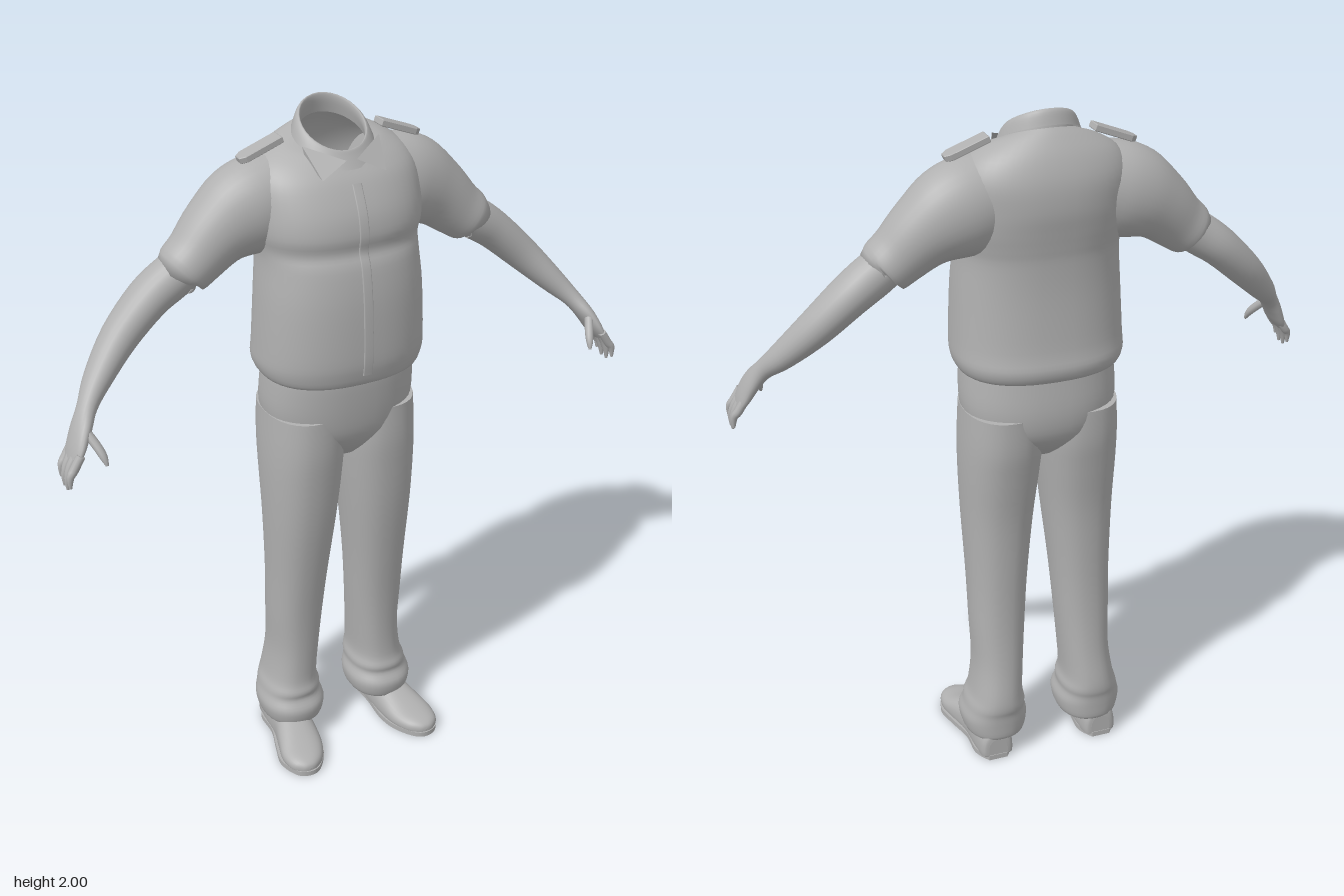
import * as THREE from 'three';

const cloth = new THREE.MeshStandardMaterial({ color: 0xb0b0b0, side: THREE.DoubleSide });
cloth.name = 'plain grey';

// Smoothly fill in between rows of numbers
function densify(rows, steps) {
  const out = [];
  for (let i = 0; i < rows.length - 1; i++) {
    const p = [rows[Math.max(i - 1, 0)], rows[i], rows[i + 1], rows[Math.min(i + 2, rows.length - 1)]];
    for (let s = 0; s < steps; s++) {
      const t = s / steps;
      out.push(p[1].map((b, k) => {
        const a = p[0][k], c = p[2][k], d = p[3][k];
        return b + 0.5 * t * (c - a + t * (2 * a - 5 * b + 4 * c - d + t * (3 * (b - c) + d - a)));
      }));
    }
  }
  out.push(rows[rows.length - 1]);
  return out;
}

// Skin over oval sections [x, y, z, halfU, halfV, exponent, tilt]; axis is 'y', 'z' or 'path'
function loft(sections, { axis = 'path', segs = 32, steps = 4, caps = true, floor = -9 } = {}) {
  const rows = densify(sections, steps), pos = [], idx = [];
  const at = (i) => new THREE.Vector3(...rows[Math.min(Math.max(i, 0), rows.length - 1)].slice(0, 3));
  rows.forEach(([, , , hu, hv, n = 2, tilt = 0], i) => {
    const c = at(i), u = new THREE.Vector3(1, 0, 0), v = new THREE.Vector3(0, 0, -1);
    if (axis === 'z') v.set(0, 1, 0);
    if (axis === 'path') {
      const t = at(i + 1).sub(at(i - 1)).normalize();
      v.set(0, 0, 1).addScaledVector(t, -t.z).normalize();
      u.crossVectors(v, t);
    }
    for (let j = 0; j < segs; j++) {
      const a = (j / segs) * Math.PI * 2, cs = Math.cos(a), sn = Math.sin(a);
      const p = c.clone()
        .addScaledVector(u, hu * Math.sign(cs) * Math.abs(cs) ** (2 / n))
        .addScaledVector(v, hv * Math.sign(sn) * Math.abs(sn) ** (2 / n));
      p.y = Math.max(p.y + tilt * (p.z - c.z), floor);
      pos.push(p.x, p.y, p.z);
    }
  });
  for (let i = 0; i < rows.length - 1; i++) for (let j = 0; j < segs; j++) {
    const k = (j + 1) % segs, a = i * segs + j, b = i * segs + k;
    idx.push(a, b, a + segs, b, b + segs, a + segs);
  }
  if (caps) for (const end of [0, rows.length - 1]) {
    const base = pos.length / 3;
    pos.push(...pos.slice(end * segs * 3, (end + 1) * segs * 3), ...rows[end].slice(0, 3));
    for (let j = 0; j < segs; j++) {
      const k = (j + 1) % segs;
      idx.push(base + segs, base + (end ? j : k), base + (end ? k : j));
    }
  }
  const g = new THREE.BufferGeometry();
  g.setAttribute('position', new THREE.Float32BufferAttribute(pos, 3));
  g.setIndex(idx);
  g.computeVertexNormals();
  return g;
}

// Upright section from [y, left x, right x, front z, back z, exponent, tilt]
const upright = ([y, x0, x1, zf, zb, n = 2.3, tilt = 0]) =>
  [(x0 + x1) / 2, y, (zf + zb) / 2, (x1 - x0) / 2, (zf - zb) / 2, n, tilt];
const centred = ([y, hw, ...rest]) => upright([y, -hw, hw, ...rest]);

function mirrored(geometry) {
  const g = geometry.clone().toNonIndexed();
  for (const key of ['position', 'normal']) {
    const a = g.attributes[key];
    for (let i = 0; i < a.count; i += 3) {
      const v = [0, 2, 1].map((k) => new THREE.Vector3().fromBufferAttribute(a, i + k));
      v.forEach((p, k) => a.setXYZ(i + k, -p.x, p.y, p.z));
    }
  }
  return g;
}

export function createModel() {
  const model = new THREE.Group();
  model.name = 'uniformedBody';
  const add = (name, g) => {
    const m = new THREE.Mesh(g, cloth);
    m.name = name;
    model.add(m);
  };
  const pair = (name, g) => { add(name + 'Left', g); add(name + 'Right', mirrored(g)); };

  // Shirt with a full belly, open at the neck
  const shirt = [
    [1.29, 0.2, 0.12, -0.16, 2.4, 0], [1.265, 0.222, 0.155, -0.193, 2.4, 0],
    [1.3, 0.24, 0.17, -0.21, 2.4, 0], [1.36, 0.24, 0.176, -0.2, 2.4, 0],
    [1.5, 0.233, 0.172, -0.19, 2.4, 0], [1.6, 0.225, 0.158, -0.19, 2.4, 0],
    [1.645, 0.228, 0.142, -0.195, 2.4, 0], [1.69, 0.238, 0.147, -0.202, 2.4, 0],
    [1.75, 0.243, 0.135, -0.21, 2.3, 0], [1.82, 0.238, 0.1, -0.206, 2.3, 0],
    [1.87, 0.208, 0.07, -0.185, 2.2, -0.1], [1.905, 0.15, 0.05, -0.155, 2, -0.25],
    [1.915, 0.1, 0.05, -0.135, 2, -0.4],
  ];
  add('shirt', loft(shirt.map(centred), { axis: 'y', segs: 48, caps: false }));
  add('shirtPlacket', loft(shirt.slice(2, 10).map(([y, , zf]) => [0, y, zf, 0.014, 0.003, 5]), { segs: 12 }));

  // Folded collar with pointed tips
  add('collar', loft([
    [1.905, 0.112, 0.078, -0.142, 2, -0.5], [1.935, 0.1, 0.06, -0.132, 2, -0.58],
    [1.947, 0.088, 0.05, -0.123, 2, -0.6], [1.93, 0.085, 0.045, -0.122, 2, -0.6],
    [1.9, 0.092, 0.05, -0.13, 2, -0.5],
  ].map(centred), { axis: 'y', caps: false }));
  const tip = new THREE.BufferGeometry().setFromPoints([
    [0.112, 1.91, 0.01], [0.015, 1.875, 0.072], [0.092, 1.838, 0.09],
    [0.112, 1.91, 0.01], [0.092, 1.838, 0.09], [0.106, 1.87, 0.02],
  ].map((p) => new THREE.Vector3(...p)));
  tip.computeVertexNormals();
  pair('collarTip', tip);

  // Short sleeves, hem turned in around the arm
  pair('sleeve', loft([
    [0.1, 1.775, -0.06, 0.115, 0.1], [0.2, 1.75, -0.065, 0.132, 0.112],
    [0.265, 1.728, -0.068, 0.125, 0.108], [0.33, 1.69, -0.066, 0.1, 0.095],
    [0.39, 1.638, -0.06, 0.083, 0.083], [0.432, 1.605, -0.057, 0.075, 0.079],
    [0.436, 1.601, -0.057, 0.06, 0.062],
  ]));

  // Shoulder straps
  const strap = new THREE.Shape();
  strap.moveTo(-0.062, -0.022).lineTo(0.045, -0.022).lineTo(0.06, -0.012)
    .lineTo(0.06, 0.012).lineTo(0.045, 0.022).lineTo(-0.062, 0.022);
  const strapGeo = new THREE.ExtrudeGeometry(strap, {
    depth: 0.014, bevelSize: 0.002, bevelThickness: 0.002, bevelSegments: 1 });
  strapGeo.rotateX(-Math.PI / 2).rotateZ(-0.36).translate(0.203, 1.892, -0.055);
  pair('shoulderStrap', strapGeo);

  // Bare arms and hands
  pair('arm', loft([
    [0.4, 1.63, -0.057, 0.055, 0.06], [0.46, 1.59, -0.06, 0.06, 0.063],
    [0.53, 1.54, -0.062, 0.056, 0.064], [0.62, 1.457, -0.045, 0.049, 0.056],
    [0.7, 1.375, -0.002, 0.037, 0.044], [0.748, 1.323, 0.04, 0.026, 0.032],
    [0.778, 1.28, 0.068, 0.023, 0.044], [0.8, 1.24, 0.085, 0.019, 0.05],
    [0.815, 1.212, 0.094, 0.013, 0.046],
  ], { segs: 24 }));
  const digit = (pts) => loft(pts.map((p, i) => [...p, [0.012, 0.012, 0.01, 0.004][i], [0.013, 0.013, 0.01, 0.004][i]]),
    { segs: 10, steps: 3 });
  for (let i = 0; i < 4; i++) {
    const z = 0.055 + i * 0.025, drop = [0.015, 0, 0, 0.015][i];
    pair('finger' + (i + 1), digit([
      [0.803, 1.235, z], [0.825, 1.2, z + 0.002], [0.837, 1.168 + drop, z + 0.006], [0.84, 1.137 + drop, z + 0.008],
    ]));
  }
  pair('thumb', digit([[0.778, 1.29, 0.09], [0.757, 1.25, 0.128], [0.748, 1.225, 0.148], [0.744, 1.205, 0.158]]));

  // Trousers: seat, then two long legs gathered at the cuff
  add('trouserSeat', loft([
    [1.0, 0.05, 0.06, -0.1], [1.04, 0.13, 0.095, -0.145], [1.09, 0.2, 0.122, -0.178],
    [1.16, 0.222, 0.135, -0.188], [1.25, 0.22, 0.142, -0.18], [1.29, 0.215, 0.14, -0.175],
  ].map(centred), { axis: 'y', segs: 40 }));
  pair('trouserLeg', loft([
    [0.07, 0.085, 0.225, 0.045, -0.14], [0.075, 0.062, 0.242, 0.062, -0.156],
    [0.12, 0.052, 0.252, 0.07, -0.16], [0.155, 0.062, 0.243, 0.052, -0.162],
    [0.18, 0.062, 0.237, 0.054, -0.167], [0.22, 0.07, 0.224, 0.044, -0.165],
    [0.32, 0.064, 0.212, 0.044, -0.15], [0.45, 0.054, 0.215, 0.053, -0.138],
    [0.6, 0.042, 0.217, 0.072, -0.134], [0.8, 0.021, 0.224, 0.1, -0.14],
    [0.95, 0.005, 0.228, 0.115, -0.16], [1.05, -0.002, 0.227, 0.122, -0.175],
    [1.15, 0.0, 0.222, 0.12, -0.178],
  ].map(upright), { axis: 'y' }));

  // Shoes, toes turned slightly out
  pair('shoeUpper', loft([
    [0.168, 0.03, -0.15, 0.03, 0.04], [0.168, 0.03, -0.14, 0.048, 0.07], [0.168, 0.03, -0.08, 0.056, 0.08],
    [0.17, 0.03, 0, 0.058, 0.075], [0.18, 0.028, 0.07, 0.066, 0.055], [0.192, 0.024, 0.13, 0.068, 0.036],
    [0.2, 0.022, 0.18, 0.052, 0.027], [0.202, 0.02, 0.205, 0.025, 0.017], [0.202, 0.018, 0.211, 0.006, 0.006],
  ].map((r) => [...r, 2.4]), { axis: 'z', floor: 0.012 }));
  const outline = new THREE.Shape();
  outline.moveTo(0.14, 0.152).splineThru([
    [0.112, 0.1], [0.114, 0.02], [0.11, -0.07], [0.125, -0.14], [0.165, -0.2], [0.203, -0.215],
    [0.242, -0.195], [0.265, -0.13], [0.25, -0.06], [0.228, 0.02], [0.226, 0.1], [0.198, 0.152],
  ].map((p) => new THREE.Vector2(...p)));
  const sole = new THREE.ExtrudeGeometry(outline, { depth: 0.016, bevelEnabled: false });
  pair('shoeSole', sole.rotateX(-Math.PI / 2));
  return model;
}
